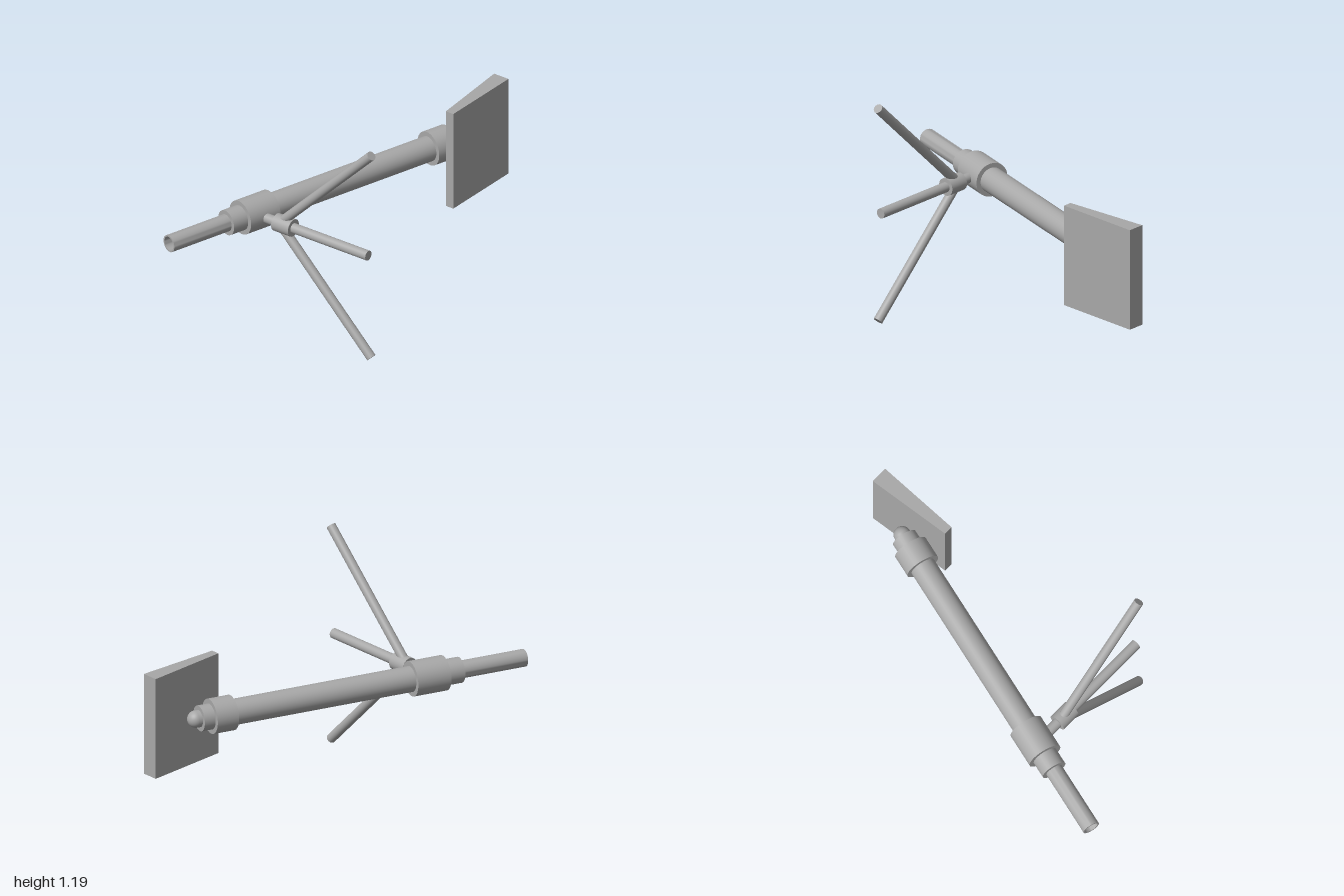
import * as THREE from 'three';
import { toCreasedNormals } from 'three/addons/utils/BufferGeometryUtils.js';

const MID_Y = 0.593;

export function createModel() {
  const model = new THREE.Group();
  const steel = new THREE.MeshStandardMaterial({ color: 0xa8a8a8 });
  steel.name = 'grey steel';

  const add = (name, geometry, parent = model) => {
    const mesh = new THREE.Mesh(geometry, steel);
    mesh.name = name;
    parent.add(mesh);
    return mesh;
  };
  // Stands a y-aligned mesh of length 1 unit scale between two points
  const align = (mesh, a, b) => {
    mesh.position.copy(a).add(b).multiplyScalar(0.5);
    mesh.quaternion.setFromUnitVectors(new THREE.Vector3(0, 1, 0), b.clone().sub(a).normalize());
    return mesh;
  };
  const rod = (name, a, b, r, parent = model) =>
    align(add(name, new THREE.CylinderGeometry(r, r, a.distanceTo(b), 32), parent), a, b);

  // Slanted barrel: each part lies between two x positions on the axis
  const barrel = new THREE.Group();
  barrel.name = 'barrel';
  model.add(barrel);
  const onAxis = (x) => new THREE.Vector3(x, MID_Y, -0.15 + 0.28 * x);
  for (const [name, x0, x1, r] of [
    ['rearSleeve', -0.644, -0.5, 0.066],
    ['rearCollar', -0.559, -0.382, 0.09],
    ['mainTube', -0.45, 0.6, 0.066],
    ['frontCollar', 0.575, 0.689, 0.09],
    ['frontStep', 0.65, 0.747, 0.066],
    ['ballNeck', 0.72, 0.765, 0.044],
  ]) rod(name, onAxis(x0), onAxis(x1), r, barrel);
  add('ballTip', new THREE.SphereGeometry(0.044, 32, 20), barrel).position.copy(onAxis(0.765));

  // Hollow rear tube, open at its outer end
  const inner = onAxis(-0.6), outer = onAxis(-0.989);
  const h = inner.distanceTo(outer) / 2;
  const profile = [[0.045, -h], [0.045, h], [0.037, h], [0.037, -h], [0, -h]]
    .map(([r, y]) => new THREE.Vector2(r, y));
  const tube = toCreasedNormals(new THREE.LatheGeometry(profile, 32), 0.6);
  align(add('openTube', tube, barrel), inner, outer);

  // Legs and their hub
  const X = -0.484;
  const at = (y, z) => new THREE.Vector3(X, y, z);
  const stand = new THREE.Group();
  stand.name = 'legs';
  model.add(stand);
  rod('centreRod', at(MID_Y, -0.28), at(MID_Y, 0.44), 0.026, stand);
  rod('hub', at(MID_Y, -0.136), at(MID_Y, -0.03), 0.046, stand);
  for (const s of [-1, 1]) {
    rod(s > 0 ? 'upperLeg' : 'lowerLeg', at(MID_Y, -0.117), at(MID_Y + s * 0.576, 0.459), 0.0245, stand);
  }

  // Wedge-shaped base plate, thicker on its left side
  const outline = new THREE.Shape([
    [0.545, -0.19], [1, -0.19], [1, -0.1], [0.545, -0.143],
  ].map(([x, z]) => new THREE.Vector2(x, z)));
  const plate = new THREE.ExtrudeGeometry(outline, { depth: 0.54, bevelEnabled: false });
  plate.rotateX(-Math.PI / 2);
  add('basePlate', plate).position.y = MID_Y - 0.27;

  return model;
}
